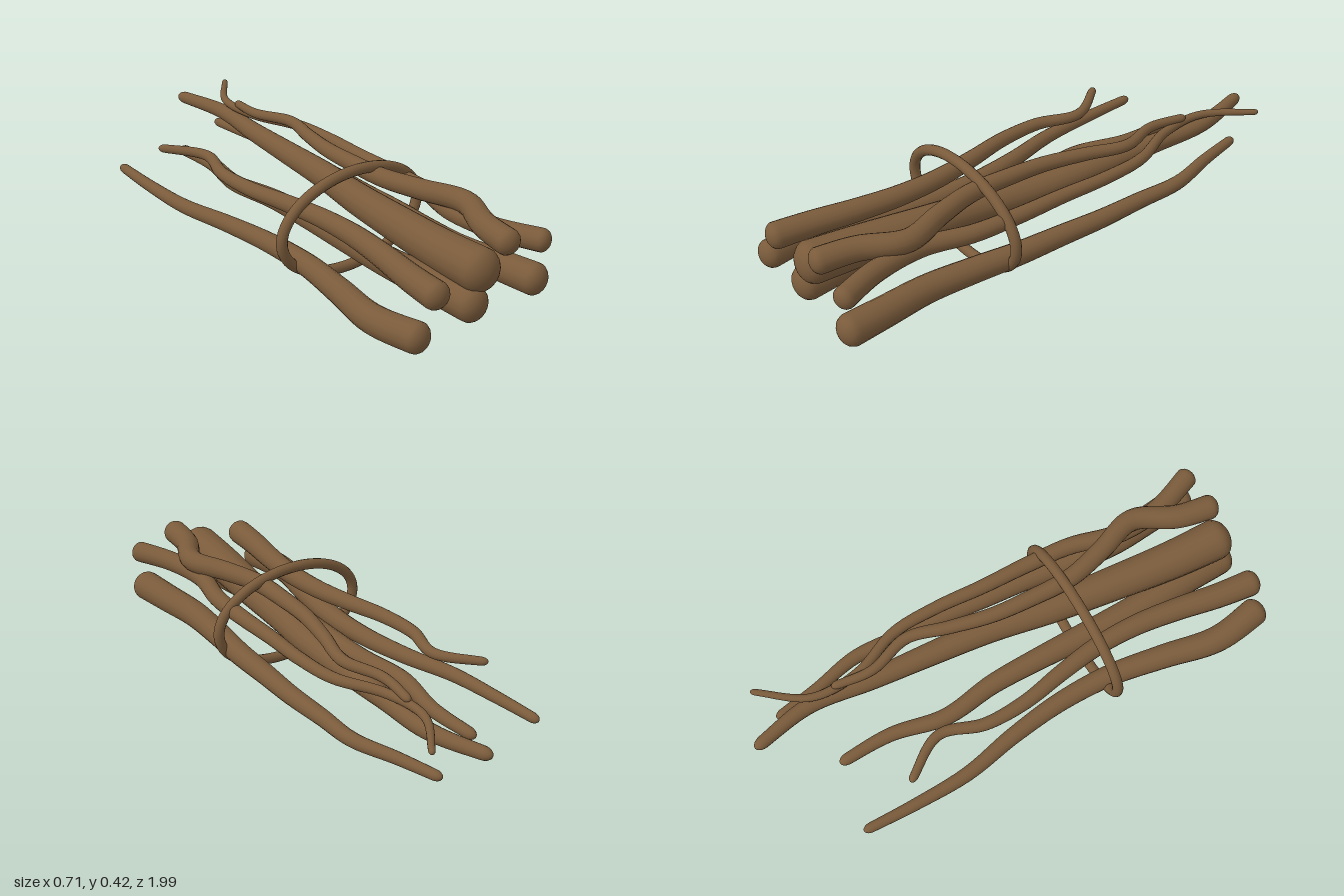
import * as THREE from 'three';
import { mergeVertices } from 'three/addons/utils/BufferGeometryUtils.js';

// Spline whose samples bunch up at both ends, so the tips can be rounded
class StickCurve extends THREE.CatmullRomCurve3 {
  ease(u) { return (1 - Math.cos(Math.PI * u)) / 2; }
  getPointAt(u, target) { return super.getPointAt(this.ease(u), target); }
  getTangentAt(u, target) { return super.getTangentAt(this.ease(u), target); }
}

// Even steps from the front (z = FRONT) to the back; height follows a parabola
const FRONT = 0.99;
function stickCurve({ xs, y: [front, middle, back], end }) {
  return new StickCurve(xs.map((x, i) => {
    const t = i / (xs.length - 1);
    const y = front * (1 - t) * (1 - 2 * t) + middle * 4 * t * (1 - t) + back * t * (2 * t - 1);
    return new THREE.Vector3(x, y, THREE.MathUtils.lerp(FRONT, end, t));
  }));
}

// Tapered tube with domed ends
function stickGeometry(curve, r0, r1) {
  const rings = 80, sides = 16, length = curve.getLength();
  const geo = new THREE.TubeGeometry(curve, rings, 1, sides);
  const pos = geo.attributes.position, v = new THREE.Vector3();
  const dome = (d, r) => (d >= r ? 1 : Math.sqrt(Math.max(0, 1 - (1 - d / r) ** 2)));
  for (let i = 0; i <= rings; i++) {
    const center = curve.getPointAt(i / rings), t = curve.ease(i / rings);
    const r = THREE.MathUtils.lerp(r0, r1, t)
      * dome(t * length, r0 * 0.75) * dome((1 - t) * length, r1 * 1.6);
    for (let j = 0; j <= sides; j++) {
      const k = i * (sides + 1) + j;
      v.fromBufferAttribute(pos, k).sub(center).multiplyScalar(r).add(center);
      pos.setXYZ(k, v.x, v.y, v.z);
    }
  }
  geo.deleteAttribute('uv');
  geo.deleteAttribute('normal');
  const smooth = mergeVertices(geo, 1e-5);
  smooth.computeVertexNormals();
  return smooth;
}

// xs: sideways bends from front to back; y: front, middle, back heights;
// r: front and back radius; end: z of the back tip
const STICKS = [
  { name: 'leftLowStick', r: [0.057, 0.019], y: [0.13, 0.108, 0.13], end: -0.79,
    xs: [-0.275, -0.305, -0.262, -0.226, -0.225, -0.255, -0.302, -0.312, -0.31] },
  { name: 'leftHighStick', r: [0.052, 0.016], y: [0.258, 0.265, 0.28], end: -0.56,
    xs: [-0.21, -0.19, -0.16, -0.14, -0.143, -0.17, -0.204, -0.207, -0.16, -0.27] },
  { name: 'middleLowStick', r: [0.067, 0.022], y: [0.155, 0.162, 0.15], end: -0.75,
    xs: [-0.022, -0.036, -0.05, -0.05, -0.047, -0.05, -0.077, -0.035, -0.04] },
  { name: 'thickCentreStick', r: [0.082, 0.024], y: [0.27, 0.248, 0.275], end: -1,
    xs: [0.01, 0.025, 0.053, 0.083, 0.122, 0.143, 0.16, 0.18, 0.125] },
  { name: 'rightLowStick', r: [0.061, 0.019], y: [0.15, 0.14, 0.167], end: -0.88,
    xs: [0.28, 0.262, 0.245, 0.257, 0.277, 0.287, 0.3, 0.303, 0.31, 0.265, 0.23] },
  { name: 'topStick', r: [0.049, 0.016], y: [0.347, 0.358, 0.333], end: -0.65,
    xs: [0.11, 0.14, 0.212, 0.16, 0.118, 0.118, 0.13, 0.167, 0.21, 0.162, 0.18] },
  { name: 'thinRightStick', r: [0.043, 0.012], y: [0.302, 0.302, 0.322], end: -0.92,
    xs: [0.295, 0.225, 0.208, 0.255, 0.267, 0.27, 0.28, 0.268, 0.19, 0.185, 0.315] },
];

export function createModel() {
  const group = new THREE.Group();
  group.name = 'stickBundle';
  const bark = new THREE.MeshStandardMaterial({ color: 0x7a5b3b });
  bark.name = 'brown bark';

  for (const stick of STICKS) {
    const mesh = new THREE.Mesh(stickGeometry(stickCurve(stick), ...stick.r), bark);
    mesh.name = stick.name;
    group.add(mesh);
  }

  // Oval loop around the bundle
  const oval = new THREE.CatmullRomCurve3(Array.from({ length: 32 }, (_, i) => {
    const a = (i / 32) * Math.PI * 2;
    return new THREE.Vector3(0.008 + 0.326 * Math.cos(a), 0.212 + 0.19 * Math.sin(a), 0.295);
  }), true);
  const ring = new THREE.Mesh(new THREE.TubeGeometry(oval, 80, 0.021, 12, true), bark);
  ring.name = 'bindingRing';
  group.add(ring);
  return group;
}
